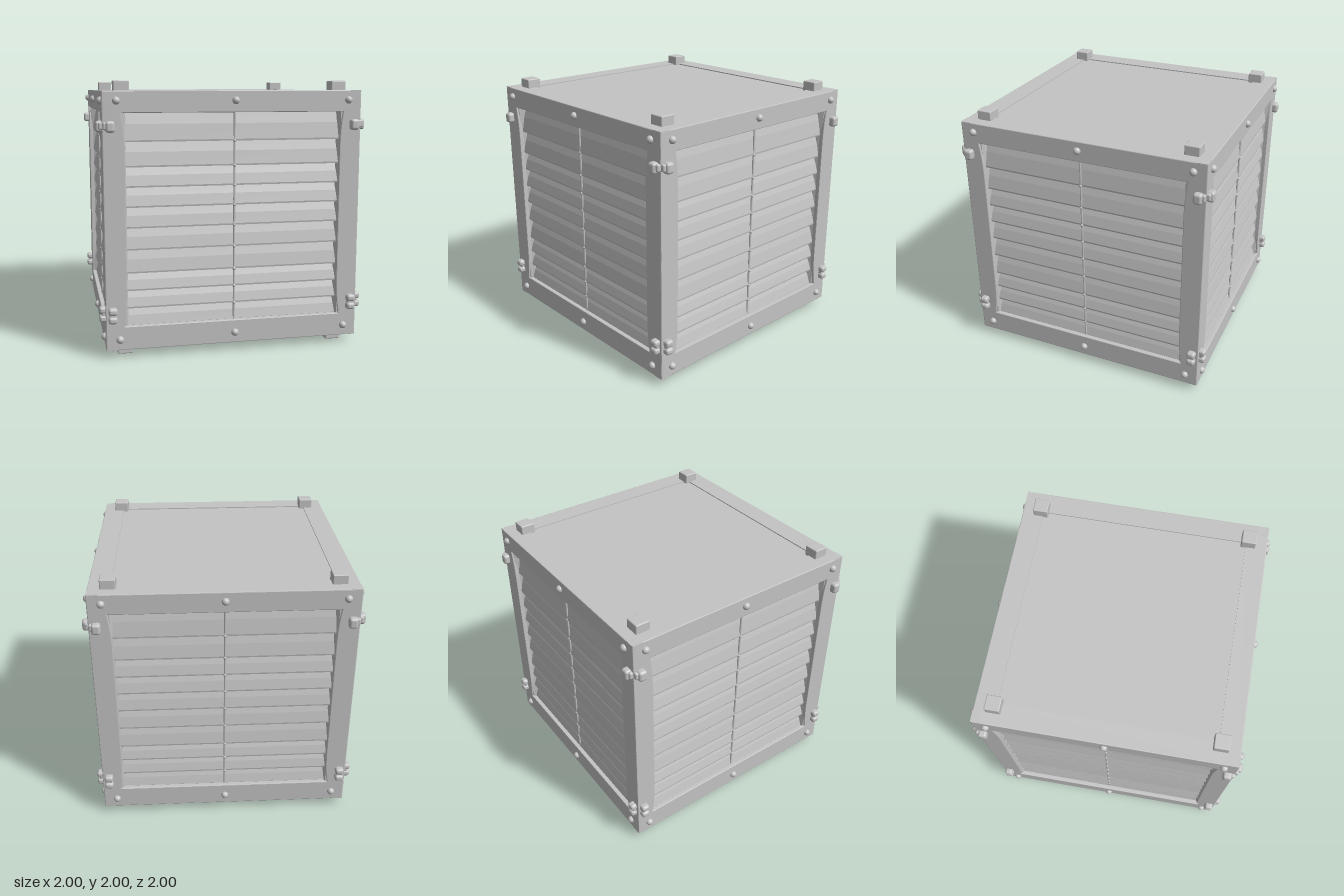
import * as THREE from 'three';
import { RoundedBoxGeometry } from 'three/addons/geometries/RoundedBoxGeometry.js';

const HALF = 0.955, BOTTOM = 0.06, TOP = 1.93, SILL = 0.23, HEAD = 1.78;

export function createModel() {
  const model = new THREE.Group();
  model.name = 'louvredCrate';
  const grey = new THREE.MeshStandardMaterial({ color: 0xc4c4c4 });
  grey.name = 'plain grey';

  function add(parent, name, geometry, x = 0, y = 0, z = 0) {
    const mesh = new THREE.Mesh(geometry, grey);
    mesh.name = name;
    mesh.position.set(x, y, z);
    parent.add(mesh);
    return mesh;
  }

  // Rectangle outline used for frames
  function rectangle(w, y0, y1, Type = THREE.Shape) {
    const s = new Type();
    s.moveTo(-w, y0);
    s.lineTo(w, y0);
    s.lineTo(w, y1);
    s.lineTo(-w, y1);
    s.closePath();
    return s;
  }

  // Side frame: the posts flare into the corners of the opening
  const b = 0.006;
  const sideShape = rectangle(HALF - b - 0.0005, BOTTOM + b, TOP - b);
  const opening = new THREE.Path();
  opening.moveTo(-0.825, SILL);
  opening.lineTo(0.825, SILL);
  opening.quadraticCurveTo(0.802, SILL + 0.13, 0.802, SILL + 0.28);
  opening.lineTo(0.802, HEAD - 0.28);
  opening.quadraticCurveTo(0.802, HEAD - 0.13, 0.825, HEAD);
  opening.lineTo(-0.825, HEAD);
  opening.quadraticCurveTo(-0.802, HEAD - 0.13, -0.802, HEAD - 0.28);
  opening.lineTo(-0.802, SILL + 0.28);
  opening.quadraticCurveTo(-0.802, SILL + 0.13, -0.825, SILL);
  sideShape.holes.push(opening);
  const frameGeo = new THREE.ExtrudeGeometry(sideShape, {
    depth: 0.075, bevelEnabled: true, bevelSize: b, bevelThickness: b, bevelSegments: 2, curveSegments: 8,
  });

  // Louvre panel: sawtooth profile, each slat leaning out to its lower edge
  const edges = [1.78, 1.57, 1.39, 1.245, 1.10, 0.95, 0.79, 0.62, 0.49, 0.36, 0.225];
  const profile = new THREE.Shape();
  profile.moveTo(0.84, HEAD + 0.01);
  for (let i = 0; i < edges.length - 1; i++) {
    const top = edges[i], low = edges[i + 1], h = top - low;
    profile.lineTo(0.885, top);
    profile.lineTo(0.905, top - h * 0.4);
    profile.lineTo(0.922, low + 0.012);
    profile.lineTo(0.920, low);
  }
  profile.lineTo(0.84, SILL - 0.01);
  profile.closePath();
  const louvreGeo = new THREE.ExtrudeGeometry(profile, { depth: 1.66, bevelEnabled: false });
  louvreGeo.translate(0, 0, -0.83);
  louvreGeo.rotateY(-Math.PI / 2);

  // Sloped jamb strip beside the slats
  const jambShape = new THREE.Shape();
  jambShape.moveTo(0.83, 0.86);
  jambShape.lineTo(0.785, 0.86);
  jambShape.lineTo(0.787, 0.90);
  jambShape.lineTo(0.805, 0.94);
  jambShape.lineTo(0.83, 0.94);
  jambShape.closePath();

  const rivetGeo = new THREE.SphereGeometry(0.028, 16, 12);
  const cordGeo = new THREE.CylinderGeometry(0.008, 0.008, HEAD - SILL, 8);
  const knotGeo = new THREE.SphereGeometry(0.012, 8, 6);
  const clipGeo = new RoundedBoxGeometry(0.065, 0.08, 0.07, 3, 0.02);
  const clipTabGeo = new RoundedBoxGeometry(0.03, 0.055, 0.05, 3, 0.012);
  const hingeGeo = new RoundedBoxGeometry(0.065, 0.052, 0.07, 3, 0.02);
  const hingePinGeo = new RoundedBoxGeometry(0.05, 0.03, 0.04, 2, 0.01);

  // Four identical sides
  const sideNames = ['front', 'left', 'back', 'right'];
  sideNames.forEach((sideName, k) => {
    const side = new THREE.Group();
    side.name = sideName + 'Side';
    side.rotation.y = k * Math.PI / 2;
    model.add(side);

    add(side, 'sideFrame', frameGeo, 0, 0, HALF - 0.075 - b);
    add(side, 'louvreSlats', louvreGeo);

    // Centre cord with a knot at each slat edge
    add(side, 'centreCord', cordGeo, 0, (HEAD + SILL) / 2, 0.917);
    for (const y of edges.slice(1, -1)) add(side, 'cordKnot', knotGeo, 0, y, 0.92);

    for (const y of [0.14, 1.86])
      for (const x of [-0.855, 0, 0.855]) add(side, 'rivet', rivetGeo, x, y, 0.957);

    for (const s of [-1, 1]) {
      // Jambs, mirrored by running the same shape the other way
      const pts = jambShape.getPoints().map((p) => new THREE.Vector2(p.x * s, -p.y));
      const jamb = new THREE.ExtrudeGeometry(new THREE.Shape(pts), { depth: HEAD - SILL, bevelEnabled: false });
      jamb.rotateX(-Math.PI / 2);
      add(side, 'jamb', jamb, 0, SILL, 0);

      // Upper latch and lower paired hinge lugs on the posts
      add(side, 'latch', clipGeo, s * 0.9, 1.68, 0.965);
      add(side, 'latchTab', clipTabGeo, s * 0.937, 1.685, 0.955);
      for (const y of [0.295, 0.358]) add(side, 'hingeLug', hingeGeo, s * 0.905, y, 0.965);
      add(side, 'hingePin', hingePinGeo, s * 0.905, 0.327, 0.962);
    }
  });

  // Inner body, whose ends form the recessed lid and base panels
  add(model, 'body', new THREE.BoxGeometry(1.74, TOP - BOTTOM - 0.016, 1.74), 0, (TOP + BOTTOM) / 2, 0);

  // Border frames around the lid and base panels
  const border = rectangle(HALF - 0.007, -HALF + 0.007, HALF - 0.007);
  border.holes.push(rectangle(0.793, -0.793, 0.793, THREE.Path));
  const borderGeo = new THREE.ExtrudeGeometry(border, { depth: 0.1, bevelEnabled: false });
  borderGeo.rotateX(-Math.PI / 2);
  add(model, 'lidBorder', borderGeo, 0, TOP - 0.1, 0);
  add(model, 'baseBorder', borderGeo, 0, BOTTOM, 0);

  // Corner stacking blocks and feet
  const blockGeo = new RoundedBoxGeometry(0.112, 0.1, 0.112, 2, 0.008);
  for (const x of [-0.81, 0.81])
    for (const z of [-0.81, 0.81]) {
      add(model, 'stackingBlock', blockGeo, x, 1.95, z);
      add(model, 'foot', blockGeo, x, 0.05, z);
    }

  return model;
}
